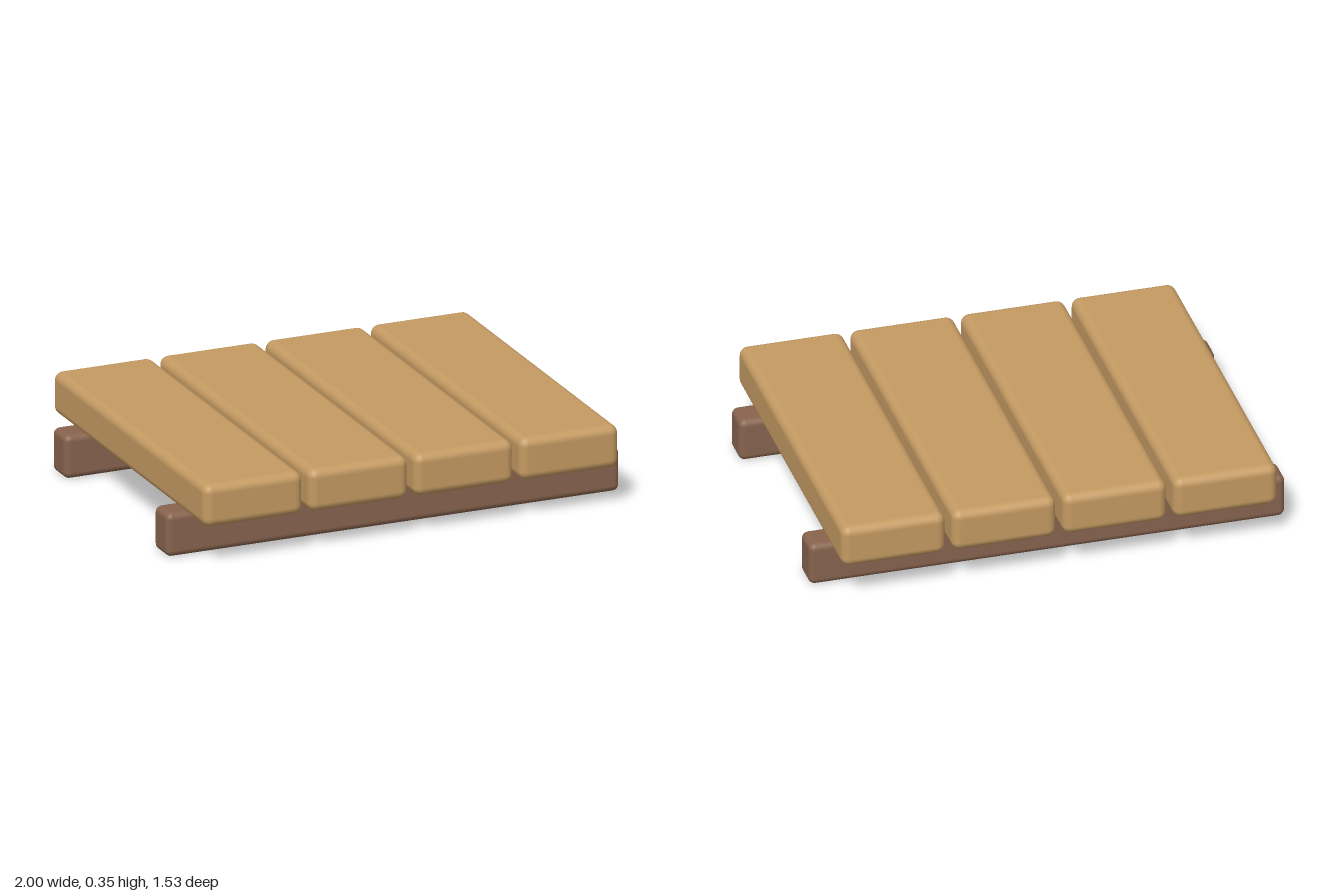
import * as THREE from 'three';
import { RoundedBoxGeometry } from 'three/addons/geometries/RoundedBoxGeometry.js';

export function createModel() {
  const model = new THREE.Group();
  model.name = 'slattedPlatform';

  const plankWood = new THREE.MeshStandardMaterial({ color: 0xc49a62 });
  const beamWood = new THREE.MeshStandardMaterial({ color: 0x87634e });

  function addBoard(name, size, position, radius, material) {
    const board = new THREE.Mesh(new RoundedBoxGeometry(...size, 4, radius), material);
    board.name = name;
    board.position.set(...position);
    model.add(board);
  }

  // Two support beams running across the width
  for (const [name, z] of [['frontBeam', 0.511], ['backBeam', -0.511]]) {
    addBoard(name, [2, 0.187, 0.138], [0, 0.0935, z], 0.028, beamWood);
  }

  // Four planks laid front to back, sunk slightly into the beams
  for (let i = 0; i < 4; i++) {
    addBoard(`plank${i + 1}`, [0.437, 0.182, 1.533], [(i - 1.5) * 0.465, 0.264, 0], 0.037, plankWood);
  }

  return model;
}
